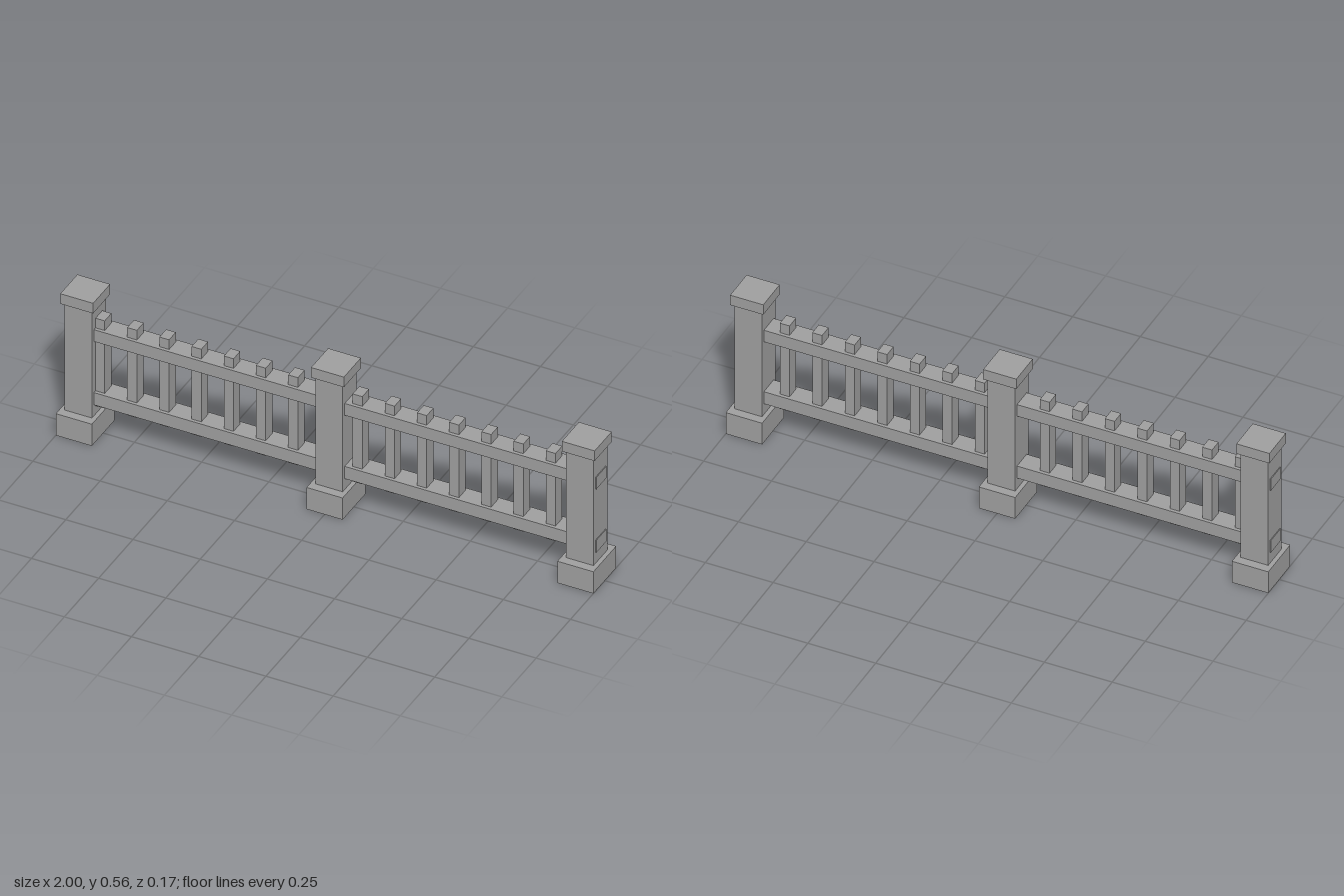
import * as THREE from 'three';

export function createModel() {
  const fence = new THREE.Group();
  fence.name = 'fence';
  const stone = new THREE.MeshStandardMaterial({ color: 0xa0a0a0 });
  stone.name = 'grey stone';

  // Box placed by its centre x and its bottom and top heights
  function block(parent, name, x, bottom, top, width, depth) {
    const mesh = new THREE.Mesh(new THREE.BoxGeometry(width, top - bottom, depth), stone);
    mesh.name = name;
    mesh.position.set(x, (bottom + top) / 2, 0);
    parent.add(mesh);
  }

  // Three posts with footing and cap
  for (const x of [-0.933, 0, 0.933]) {
    const post = new THREE.Group();
    post.name = 'post';
    post.position.x = x;
    block(post, 'postBase', 0, 0, 0.088, 0.134, 0.166);
    block(post, 'postShaft', 0, 0.088, 0.522, 0.102, 0.102);
    block(post, 'postCap', 0, 0.522, 0.563, 0.122, 0.124);
    fence.add(post);
  }

  // Rails run through the posts and stand slightly proud at both ends
  block(fence, 'lowerRail', 0, 0.132, 0.182, 1.974, 0.073);
  block(fence, 'upperRail', 0, 0.389, 0.437, 1.974, 0.073);

  // Evenly spaced balusters; the one at index 7 falls inside the middle post
  for (let i = 0; i < 15; i++) {
    if (i === 7) continue;
    block(fence, 'baluster', -0.866 + i * 0.1198, 0.121, 0.476, 0.036, 0.049);
  }
  return fence;
}
